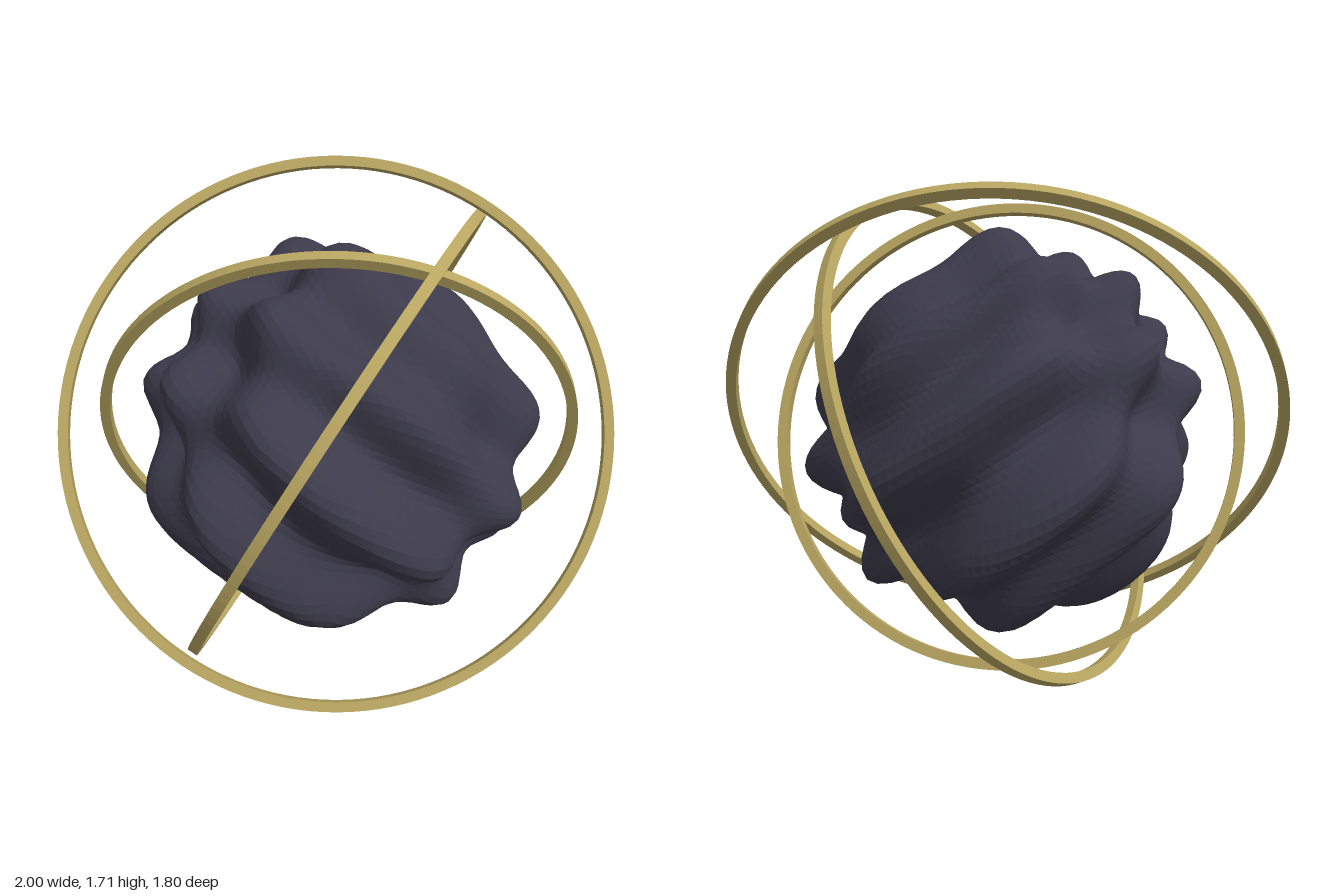
import * as THREE from 'three';

const CENTER_Y = 0.85;

// Sphere rippled by two crossing waves, giving ridges and knobs
function makeCore(material) {
  const geo = new THREE.IcosahedronGeometry(1, 22);
  const axis = new THREE.Vector3(0.656, 0.755, 0);
  const pos = geo.attributes.position;
  const p = new THREE.Vector3();
  for (let i = 0; i < pos.count; i++) {
    p.fromBufferAttribute(pos, i).normalize();
    const wave = Math.cos(10.5 * (p.dot(axis) - 0.175)) * Math.cos(7.1 * p.z);
    p.multiplyScalar(0.637 + 0.084 * wave);
    pos.setXYZ(i, p.x, p.y, p.z);
  }
  geo.computeVertexNormals(); // unshared corners keep the facets flat
  const mesh = new THREE.Mesh(geo, material);
  mesh.name = 'rippledCore';
  return mesh;
}

// Square-section hoop around the core, facing along the given normal
function makeRing(name, outerRadius, normal, material) {
  const h = 0.018;
  const inner = outerRadius - 2 * h;
  const section = [
    [outerRadius, -h], [outerRadius, h], [inner, h], [inner, -h], [outerRadius, -h],
  ].map(([x, y]) => new THREE.Vector2(x, y));
  const geo = new THREE.LatheGeometry(section, 128).toNonIndexed();
  geo.computeVertexNormals();
  const mesh = new THREE.Mesh(geo, material);
  mesh.name = name;
  mesh.quaternion.setFromUnitVectors(
    new THREE.Vector3(0, 1, 0), new THREE.Vector3(...normal).normalize());
  return mesh;
}

export function createModel() {
  const stone = new THREE.MeshStandardMaterial({ color: 0x3d3b4b });
  stone.name = 'darkStone';
  const gold = new THREE.MeshStandardMaterial({ color: 0xb8a561 });
  gold.name = 'paleGold';

  const model = new THREE.Group();
  model.name = 'ringedOrb';
  model.add(
    makeCore(stone),
    makeRing('outerRing', 1.002, [0.1, 0.54, 0.84], gold),
    makeRing('middleRing', 0.924, [0.858, -0.457, 0.235], gold),
    makeRing('innerRing', 0.849, [0.045, -0.335, 0.941], gold),
  );
  for (const part of model.children) part.position.y = CENTER_Y;
  return model;
}
